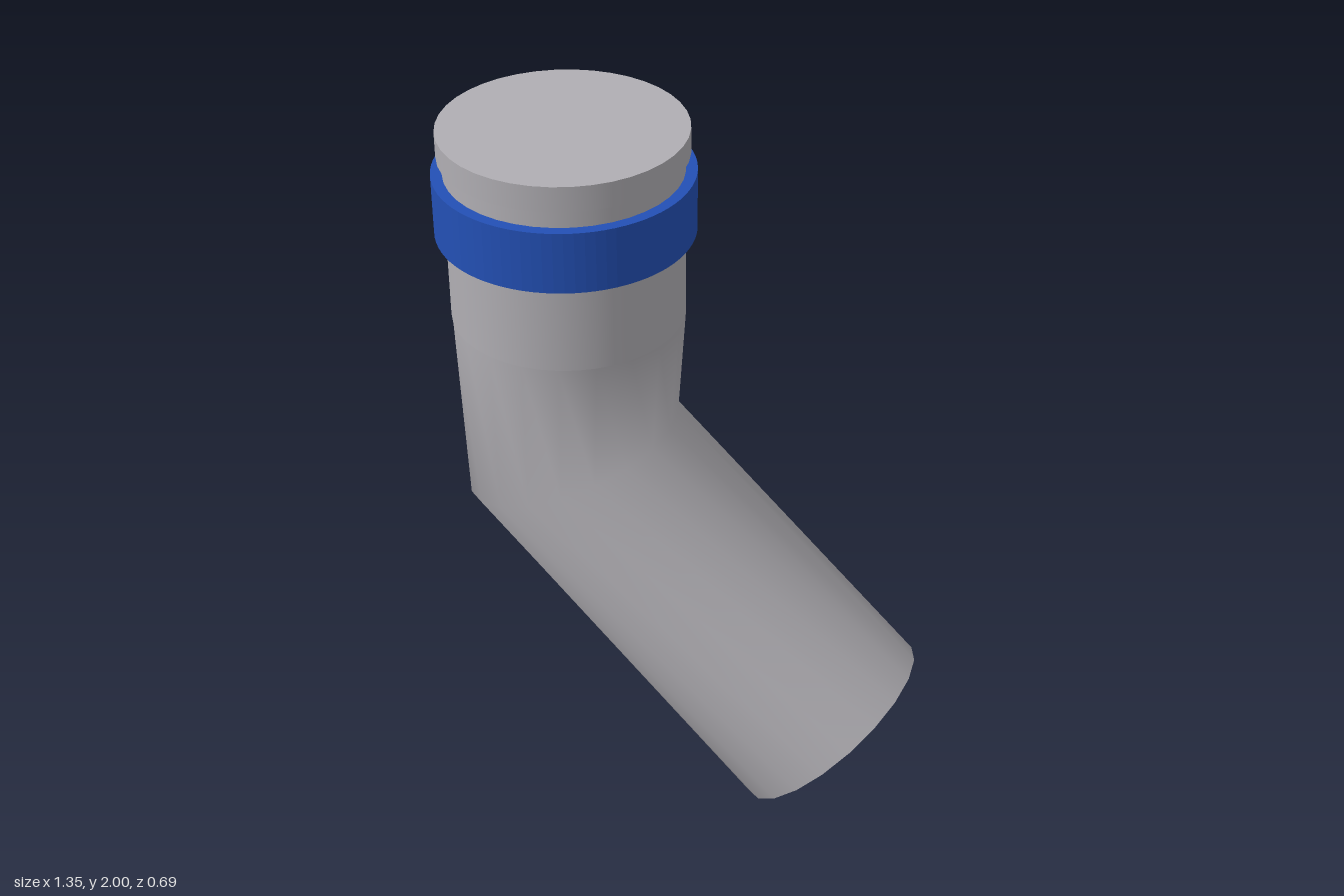
import * as THREE from 'three';

const grey = new THREE.MeshStandardMaterial({ color: 0xb0aeb3 });
grey.name = 'pipeGrey';
const blue = new THREE.MeshStandardMaterial({ color: 0x2350b5 });
blue.name = 'bandBlue';

const AXIS_X = -0.335, RADIUS = 0.315, SIDES = 20;

// Elliptical section, given by its left and right ends in the xy plane
function ring([lx, ly], [rx, ry]) {
  return Array.from({ length: SIDES }, (_, i) => {
    const a = (i / SIDES) * Math.PI * 2;
    const t = (1 + Math.cos(a)) / 2;
    return [lx + (rx - lx) * t, ly + (ry - ly) * t, RADIUS * Math.sin(a)];
  });
}

function buildGeometry(points, index) {
  const g = new THREE.BufferGeometry();
  g.setAttribute('position', new THREE.Float32BufferAttribute(points.flat(), 3));
  g.setIndex(index);
  g.computeVertexNormals();
  return g;
}

function addMesh(group, name, geometry, material) {
  const mesh = new THREE.Mesh(geometry, material);
  mesh.name = name;
  group.add(mesh);
  return mesh;
}

export function createModel() {
  const model = new THREE.Group();
  model.name = 'pipeElbow';

  // Mitred elbow: socket seam, bend, open end
  const rings = [
    ring([-0.65, 1.46], [-0.02, 1.46]),
    ring([-0.625, 0.89], [-0.045, 1.13]),
    ring([0.228, 0.003], [0.673, 0.45]),
  ];
  const index = [];
  for (let k = 0; k < rings.length - 1; k++) {
    for (let i = 0; i < SIDES; i++) {
      const j = (i + 1) % SIDES;
      const a = k * SIDES + i, b = k * SIDES + j;
      index.push(a, b, a + SIDES, b, b + SIDES, a + SIDES);
    }
  }
  addMesh(model, 'elbow', buildGeometry(rings.flat(), index), grey);

  // Flat face closing the slanted end
  const fan = [];
  for (let i = 1; i < SIDES - 1; i++) fan.push(0, i, i + 1);
  addMesh(model, 'endFace', buildGeometry(rings[2], fan), grey);

  // Straight socket and the lip on top
  const cylinder = (name, r, y0, y1) => {
    const mesh = addMesh(model, name, new THREE.CylinderGeometry(r, r, y1 - y0, 40), grey);
    mesh.position.set(AXIS_X, (y0 + y1) / 2, 0);
  };
  cylinder('socket', RADIUS, 1.46, 1.94);
  cylinder('topLip', 0.328, 1.93, 2);

  // Coloured band around the socket
  const shape = new THREE.Shape().absarc(0, 0, 0.345, 0, Math.PI * 2);
  shape.holes.push(new THREE.Path().absarc(0, 0, 0.313, 0, Math.PI * 2, true));
  const bandGeometry = new THREE.ExtrudeGeometry(shape, { depth: 0.17, bevelEnabled: false, curveSegments: 40 });
  bandGeometry.rotateX(-Math.PI / 2);
  addMesh(model, 'band', bandGeometry, blue).position.set(AXIS_X, 1.71, 0);

  return model;
}
